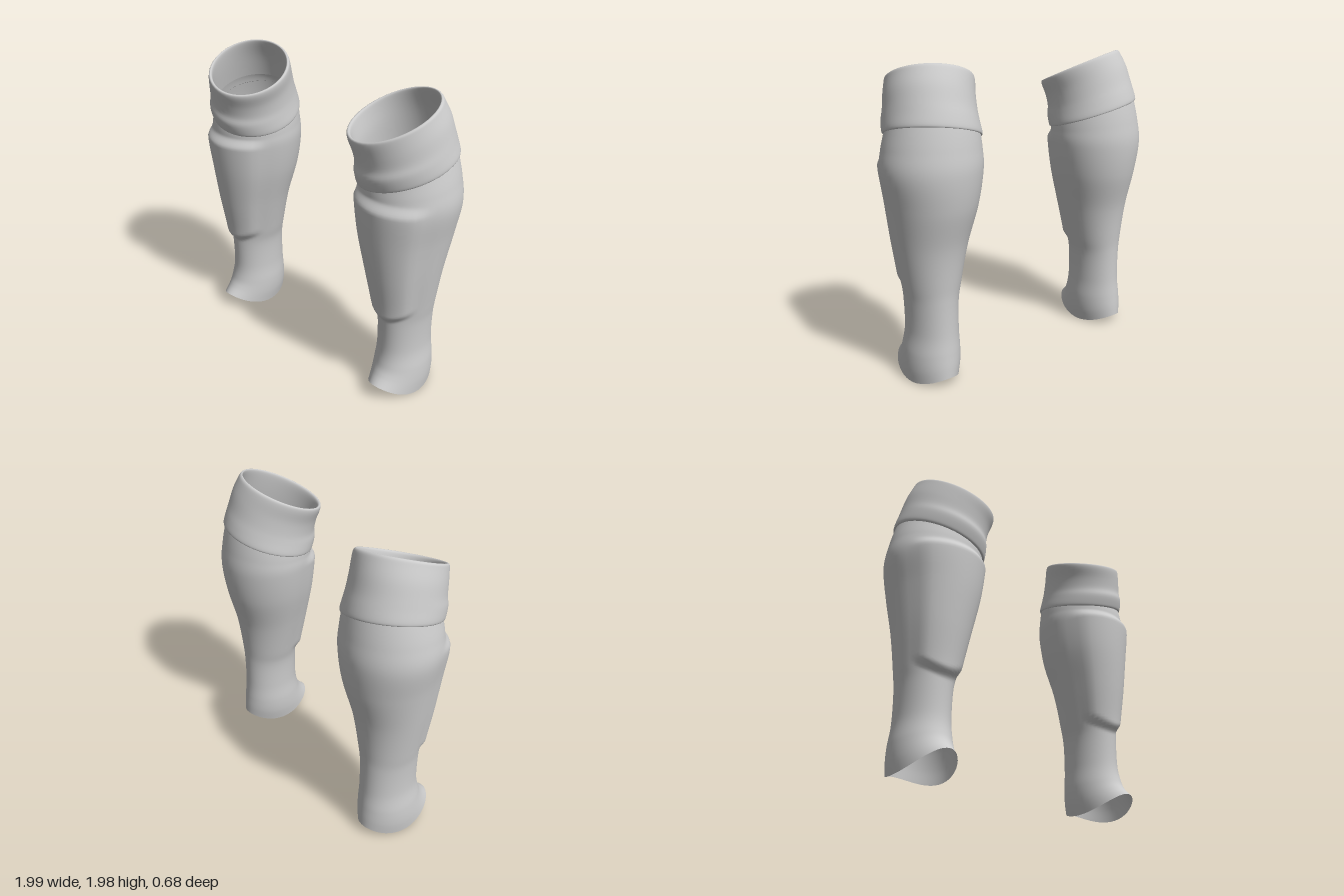
import * as THREE from 'three';

const SEGMENTS = 48;
const material = new THREE.MeshStandardMaterial({ color: 0xcccccc, side: THREE.DoubleSide });
const smooth = THREE.MathUtils.smoothstep;

// Rings of the leg sleeve, bottom to top:
// [y, xInner, xOuter, zBack, zFront, frontTilt, outerTilt, arch]
const SLEEVE = [
  [0.01, 0.575, 0.89, -0.235, 0.295, 0.025, 0, 0.085],
  [0.10, 0.560, 0.895, -0.232, 0.245, 0.015, 0, 0.055],
  [0.20, 0.556, 0.89, -0.225, 0.212, 0.005, 0, 0.025],
  [0.34, 0.563, 0.872, -0.215, 0.190, 0, 0, 0],
  [0.53, 0.557, 0.874, -0.213, 0.190, 0, 0, 0],
  [0.66, 0.530, 0.890, -0.220, 0.200, 0, 0, 0],
  [0.90, 0.475, 0.925, -0.250, 0.238, 0, 0, 0],
  [1.15, 0.410, 0.962, -0.312, 0.272, 0, 0, 0],
  [1.36, 0.376, 0.995, -0.336, 0.290, 0, 0, 0],
  [1.48, 0.376, 0.978, -0.322, 0.286, -0.03, 0.02, 0],
  [1.58, 0.382, 0.945, -0.295, 0.280, -0.07, 0.05, 0],
  [1.64, 0.395, 0.925, -0.270, 0.280, -0.07, 0.05, 0],
];

// Rings of the folded cuff: tucked lower edge, outer wall, rolled rim, lining
const CUFF = [
  [1.565, 0.385, 0.940, -0.290, 0.275, -0.075, 0.06, 0],
  [1.560, 0.372, 0.953, -0.308, 0.288, -0.075, 0.06, 0],
  [1.580, 0.368, 0.957, -0.310, 0.300, -0.075, 0.06, 0],
  [1.640, 0.374, 0.945, -0.292, 0.318, -0.075, 0.06, 0],
  [1.700, 0.378, 0.932, -0.268, 0.312, -0.080, 0.06, 0],
  [1.780, 0.372, 0.915, -0.238, 0.324, -0.090, 0.06, 0],
  [1.850, 0.354, 0.892, -0.205, 0.340, -0.095, 0.058, 0],
  [1.878, 0.353, 0.882, -0.188, 0.340, -0.095, 0.055, 0],
  [1.880, 0.368, 0.868, -0.173, 0.325, -0.095, 0.055, 0],
  [1.850, 0.378, 0.868, -0.180, 0.312, -0.095, 0.055, 0],
  [1.750, 0.395, 0.890, -0.225, 0.295, -0.085, 0.06, 0],
  [1.620, 0.395, 0.925, -0.270, 0.275, -0.075, 0.06, 0],
];

// Catmull-Rom blend of whole rings
function ringAt(rings, t) {
  const i = Math.min(Math.floor(t), rings.length - 2), f = t - i;
  const a = rings[Math.max(i - 1, 0)], b = rings[i], c = rings[i + 1];
  const d = rings[Math.min(i + 2, rings.length - 1)];
  return b.map((v, k) => v + 0.5 * f * (c[k] - a[k]
    + f * (2 * a[k] - 5 * v + 4 * c[k] - d[k]
    + f * (3 * (v - c[k]) + d[k] - a[k]))));
}

// Skin a closed tube over the rings; side is 1 (left) or -1 (right)
function skin(rings, steps, side, bulge) {
  const positions = [], index = [];
  const rows = (rings.length - 1) * steps;
  for (let r = 0; r <= rows; r++) {
    const [y0, xi, xo, zb, zf, tilt, lean, arch] = ringAt(rings, r / steps);
    for (let s = 0; s < SEGMENTS; s++) {
      const a = (s / SEGMENTS) * Math.PI * 2, c = Math.cos(a), n = Math.sin(a);
      const y = y0 + tilt * n + lean * c + arch * n * n;
      const out = bulge ? bulge(c, n, y) : 0;
      const x = (xi + xo) / 2 + ((xo - xi) / 2 + out * 0.5) * c;
      const z = (zb + zf) / 2 + ((zf - zb) / 2 + out) * n;
      positions.push(x * side, y, z);
      if (r === rows) continue;
      const p = r * SEGMENTS + s, q = r * SEGMENTS + (s + 1) % SEGMENTS;
      const u = p + SEGMENTS, v = q + SEGMENTS;
      if (side > 0) index.push(p, u, q, q, u, v);
      else index.push(p, q, u, q, v, u);
    }
  }
  const geometry = new THREE.BufferGeometry();
  geometry.setAttribute('position', new THREE.Float32BufferAttribute(positions, 3));
  geometry.setIndex(index);
  geometry.computeVertexNormals();
  return geometry;
}

// Raised shin pad under the fabric, with a rounded lower end
function shinPad(c, n, y) {
  if (n <= 0) return 0;
  const low = 0.56 + 0.09 * c * c;
  const across = 1 - smooth(Math.abs(c), 0.66, 0.92);
  return 0.036 * across * smooth(y, low, low + 0.065) * (1 - smooth(y, 1.37, 1.44));
}

export function createModel() {
  const model = new THREE.Group();
  model.name = 'shinGuardSocks';
  for (const [label, side] of [['left', 1], ['right', -1]]) {
    const sock = new THREE.Group();
    sock.name = label + 'Sock';
    const sleeve = new THREE.Mesh(skin(SLEEVE, 10, side, shinPad), material);
    sleeve.name = label + 'Sleeve';
    const cuff = new THREE.Mesh(skin(CUFF, 4, side), material);
    cuff.name = label + 'Cuff';
    sock.add(sleeve, cuff);
    model.add(sock);
  }
  return model;
}
